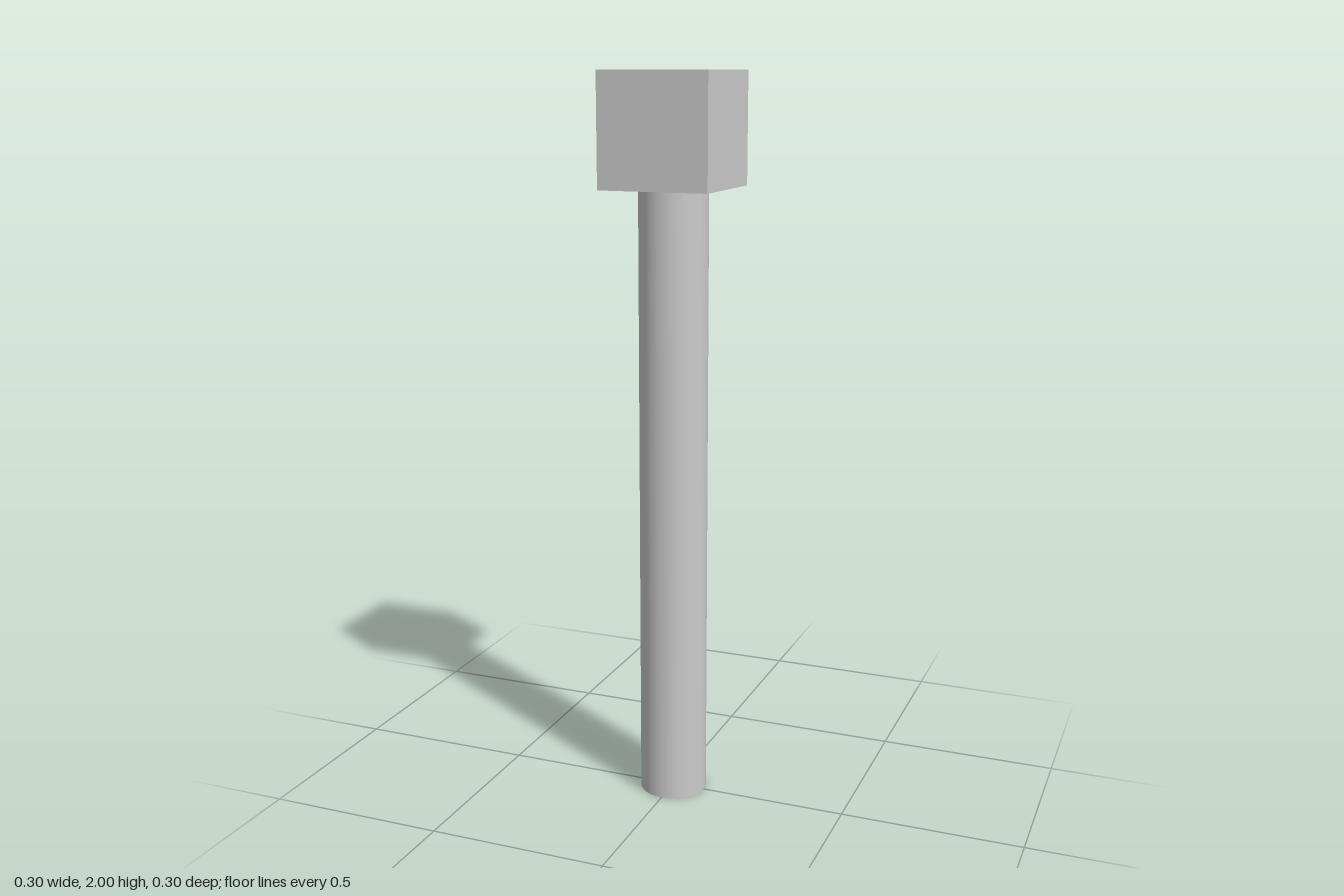
import * as THREE from 'three';

export function createModel() {
  const model = new THREE.Group();
  const material = new THREE.MeshStandardMaterial({ color: 0xcccccc });
  const headSize = 0.302;
  const headHeight = 0.3;
  const shaftHeight = 2 - headHeight;

  // Round shaft standing on the ground
  const shaft = new THREE.Mesh(
    new THREE.CylinderGeometry(0.093, 0.093, shaftHeight, 48),
    material
  );
  shaft.name = 'shaft';
  shaft.position.y = shaftHeight / 2;

  // Square block on top of the shaft
  const head = new THREE.Mesh(
    new THREE.BoxGeometry(headSize, headHeight, headSize),
    material
  );
  head.name = 'head';
  head.position.y = shaftHeight + headHeight / 2;

  model.add(shaft, head);
  return model;
}
